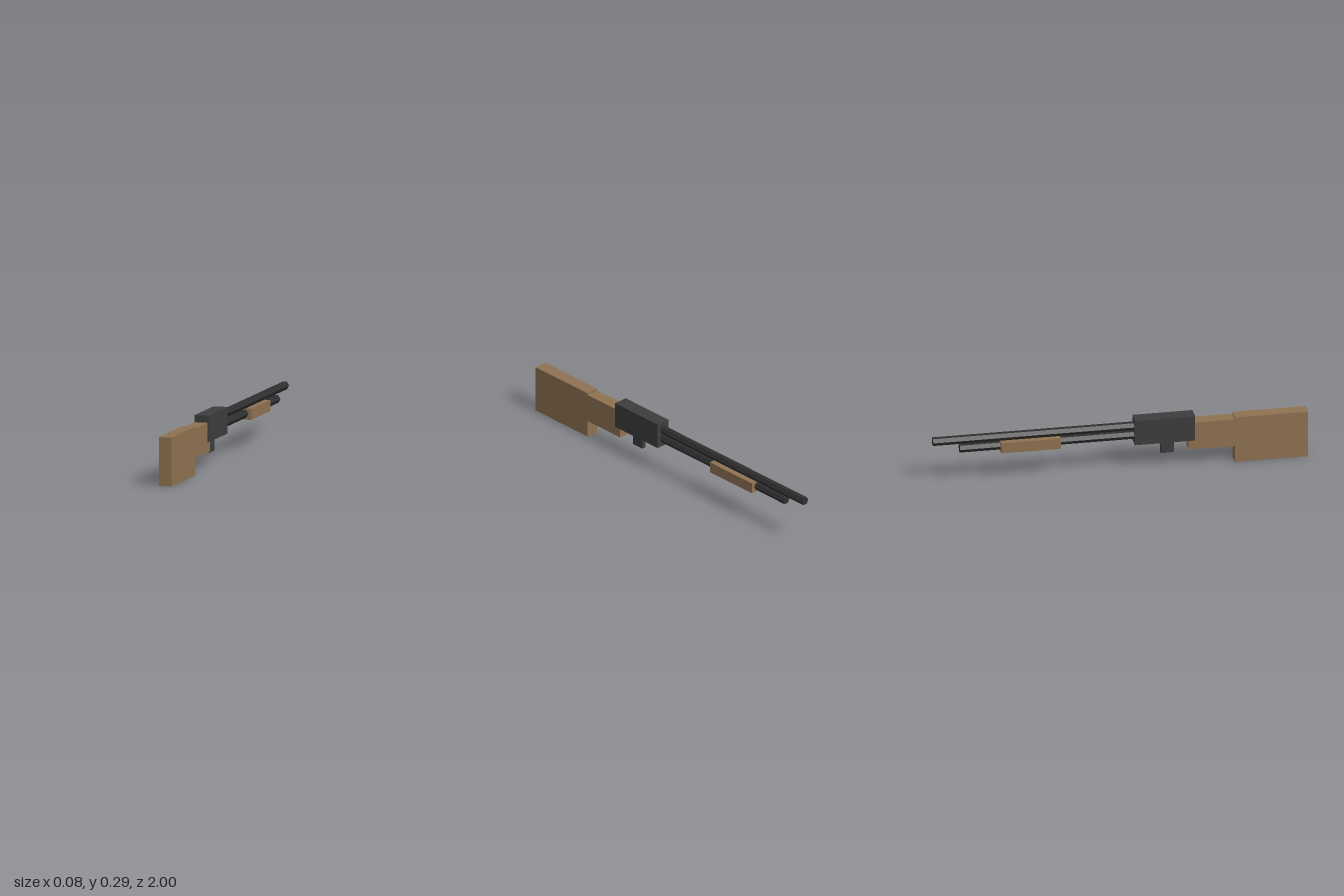
import * as THREE from 'three';

const material = (name, color) => {
  const m = new THREE.MeshStandardMaterial({ color, side: THREE.DoubleSide });
  m.name = name;
  return m;
};

// Box with an open underside, given by its extents
function openBox(name, mat, halfWidth, [y0, y1], [z0, z1]) {
  const geo = new THREE.BoxGeometry(halfWidth * 2, y1 - y0, z1 - z0);
  const index = Array.from(geo.index.array);
  index.splice(18, 6); // the -y face
  geo.setIndex(index);
  geo.clearGroups();
  const mesh = new THREE.Mesh(geo, mat);
  mesh.name = name;
  mesh.position.set(0, (y0 + y1) / 2, (z0 + z1) / 2);
  return mesh;
}

// Six-sided rod along z with flat top and bottom
function hexRod(name, mat, y, [z0, z1]) {
  const smooth = new THREE.CylinderGeometry(0.023, 0.023, z1 - z0, 6);
  smooth.rotateY(Math.PI / 6).rotateX(Math.PI / 2);
  const geo = smooth.toNonIndexed();
  geo.computeVertexNormals();
  geo.clearGroups();
  const mesh = new THREE.Mesh(geo, mat);
  mesh.name = name;
  mesh.position.set(0, y, (z0 + z1) / 2);
  return mesh;
}

export function createModel() {
  const wood = material('wood', 0x8f7251);
  const steel = material('steel', 0x3d3d3d);
  const darkSteel = material('dark steel', 0x2f2f2f);

  const model = new THREE.Group();
  model.name = 'pumpGun';
  model.add(
    // Wooden stock, grip and sliding handle
    openBox('stock', wood, 0.035, [0, 0.26], [0.608, 1]),
    openBox('grip', wood, 0.035, [0.093, 0.25], [0.362, 0.608]),
    openBox('slideHandle', wood, 0.039, [0.16, 0.219], [-0.64, -0.32]),
    // Receiver and trigger
    openBox('receiver', steel, 0.039, [0.146, 0.287], [0.074, 0.396]),
    openBox('trigger', steel, 0.012, [0.075, 0.146], [0.217, 0.288]),
    // Barrel above the magazine tube
    hexRod('barrel', darkSteel, 0.242, [-1, 0.08]),
    hexRod('magazineTube', darkSteel, 0.191, [-0.857, 0.08])
  );
  return model;
}
